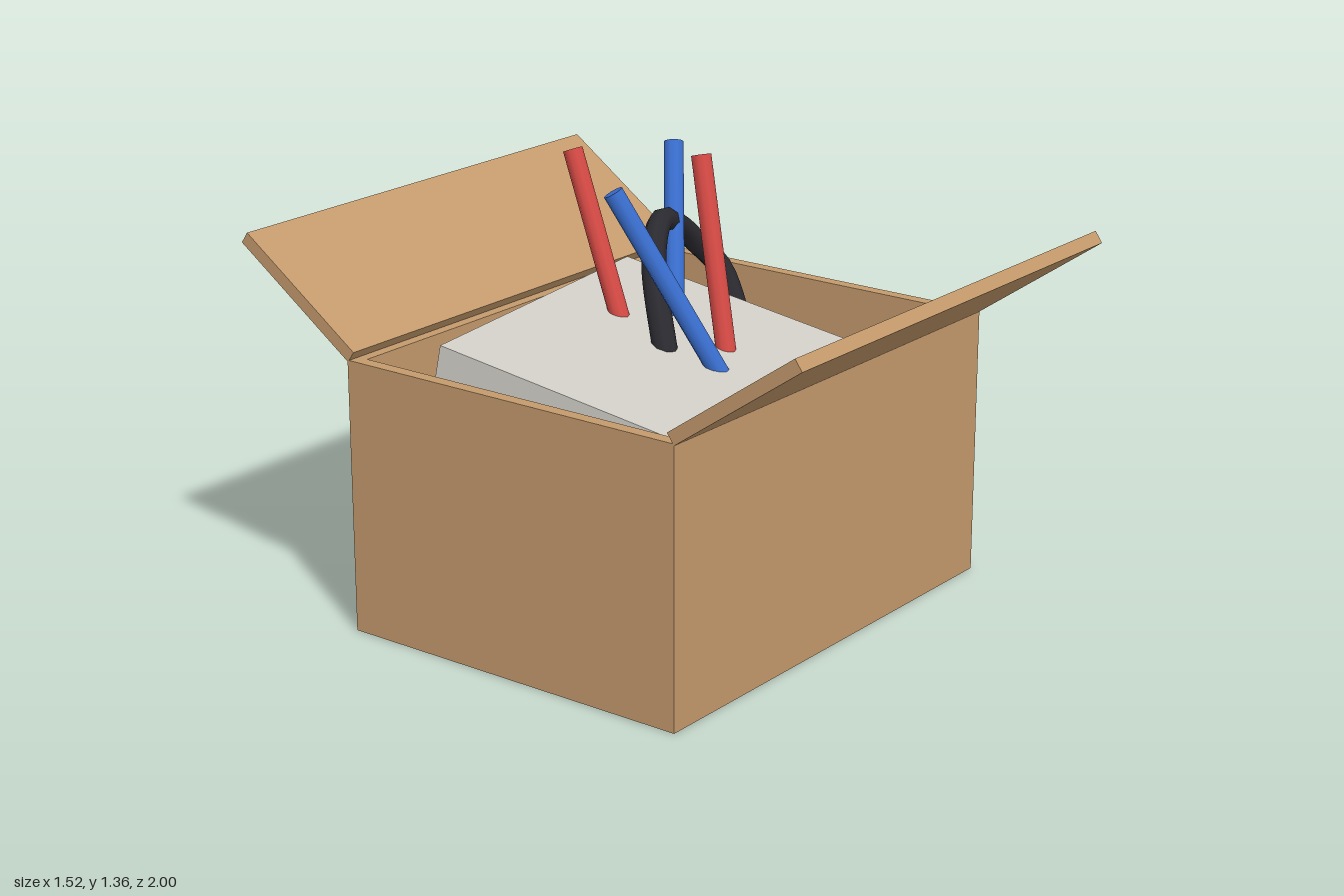
import * as THREE from 'three';

const flat = (name, color) => Object.assign(new THREE.MeshStandardMaterial({ color }), { name });
const V = (x, y, z) => new THREE.Vector3(x, y, z);

export function createModel() {
  const model = new THREE.Group();
  model.name = 'openBoxOfParts';

  const cardboard = flat('cardboard', 0xc49a6c);
  const grey = flat('paleGrey', 0xd0cec6);
  const red = flat('red', 0xd64a45);
  const blue = flat('blue', 0x3a6fd0);
  const black = flat('black', 0x2a2a30);

  const add = (name, geometry, material, parent = model) => {
    const mesh = new THREE.Mesh(geometry, material);
    mesh.name = name;
    parent.add(mesh);
    return mesh;
  };

  // Box walls: a rectangular ring extruded upward
  const W = 0.76, D = 0.59, H = 0.84, T = 0.04;
  const rect = (Type, w, d) =>
    new Type([[-w, -d], [w, -d], [w, d], [-w, d]].map(([x, y]) => new THREE.Vector2(x, y)));
  const ring = rect(THREE.Shape, W, D);
  ring.holes.push(rect(THREE.Path, W - T, D - T));
  const walls = new THREE.ExtrudeGeometry(ring, { depth: H, bevelEnabled: false });
  add('boxWalls', walls.rotateX(-Math.PI / 2), cardboard);
  add('boxFloor', new THREE.BoxGeometry(2 * (W - T), T, 2 * (D - T)), cardboard).position.y = T / 2;

  // Open flaps along the front and back rims
  for (const [name, s] of [['frontFlap', 1], ['backFlap', -1]]) {
    const flap = add(name, new THREE.BoxGeometry(2 * W, T, 0.5), cardboard);
    flap.position.set(0, 0.994, s * 0.782);
    flap.rotation.x = -s * 0.61;
  }

  // Slab lying tilted inside the box, pivoted at the middle of its top
  const slabPivot = new THREE.Group();
  slabPivot.name = 'tiltedSlab';
  slabPivot.position.set(-0.085, 0.83, 0.017);
  slabPivot.rotation.set(0.195, 0.138, 0, 'YXZ');
  model.add(slabPivot);
  add('slab', new THREE.BoxGeometry(1.05, 0.21, 0.843), grey, slabPivot).position.y = -0.105;

  // Rods standing in the slab, each from its foot to its tip
  const rods = [
    ['blueRodLeaning', blue, V(-0.06, 0.81, 0.195), V(-0.217, 1.31, -0.045)],
    ['redRodBack', red, V(0, 0.87, -0.2), V(0.022, 1.338, -0.388)],
    ['redRodFront', red, V(0.09, 0.81, 0.13), V(0.168, 1.348, -0.02)],
    ['blueRodOuter', blue, V(0.165, 0.85, -0.115), V(0.355, 1.315, -0.265)],
  ];
  for (const [name, material, foot, tip] of rods) {
    const dir = tip.clone().sub(foot).normalize();
    const base = foot.clone().addScaledVector(dir, -0.12);
    const rod = add(name, new THREE.CylinderGeometry(0.03, 0.03, base.distanceTo(tip), 10), material);
    rod.position.copy(base).lerp(tip, 0.5);
    rod.quaternion.setFromUnitVectors(V(0, 1, 0), dir);
  }

  // Arched cable with closed ends
  const path = new THREE.CatmullRomCurve3([
    V(-0.085, 0.76, 0.055), V(-0.065, 0.84, 0.02), V(0.03, 1.03, -0.09), V(0.17, 1.115, -0.175),
    V(0.3, 1.08, -0.215), V(0.42, 0.99, -0.225), V(0.495, 0.9, -0.19), V(0.495, 0.78, -0.13),
    V(0.44, 0.64, -0.05),
  ]);
  const r = 0.037;
  const cable = new THREE.Group();
  cable.name = 'cable';
  model.add(cable);
  add('cableArch', new THREE.TubeGeometry(path, 32, r, 8, false), black, cable);
  for (const [t, s] of [[0, -1], [1, 1]]) {
    const cap = add('cableEnd', new THREE.CircleGeometry(r, 8), black, cable);
    cap.position.copy(path.getPoint(t));
    cap.quaternion.setFromUnitVectors(V(0, 0, 1), path.getTangent(t).multiplyScalar(s));
  }

  return model;
}
